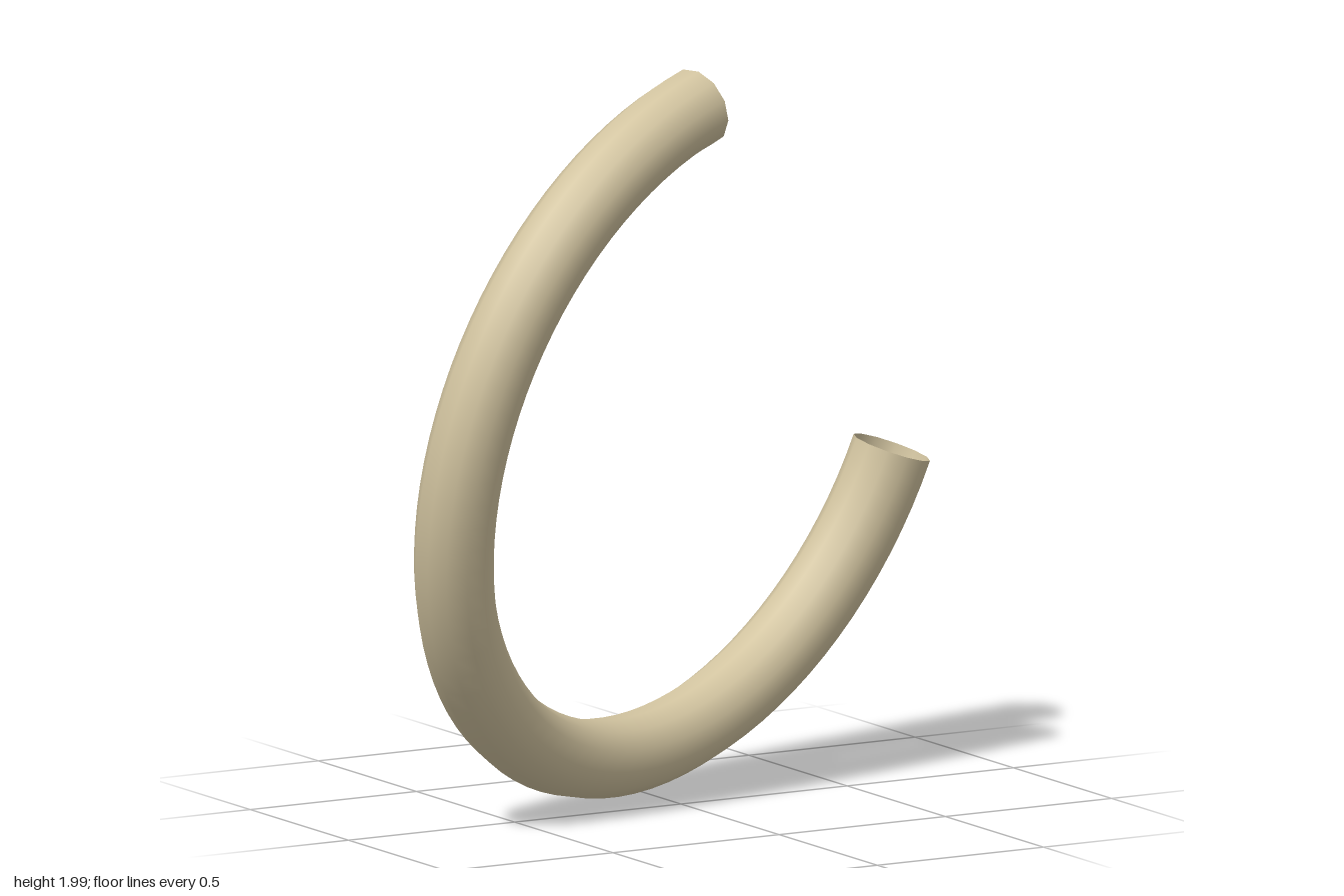
import * as THREE from 'three';

export function createModel() {
  const group = new THREE.Group();
  group.name = 'openRing';

  // Hollow round tube bent along about two thirds of a circle, open at both ends
  const arc = THREE.MathUtils.degToRad(242.6);
  const tube = new THREE.Mesh(
    new THREE.TorusGeometry(0.934, 0.105, 12, 64, arc),
    new THREE.MeshStandardMaterial({ color: 0xd2c4a0, side: THREE.DoubleSide })
  );
  tube.name = 'curvedTube';

  // Tilt: ring axis, and direction from the centre to the upper end
  const axis = new THREE.Vector3(0.3455, -0.232, 0.909).normalize();
  const start = new THREE.Vector3(-0.135, 0.88, 0.276).projectOnPlane(axis).normalize();
  const side = new THREE.Vector3().crossVectors(axis, start);
  tube.quaternion.setFromRotationMatrix(new THREE.Matrix4().makeBasis(start, side, axis));
  tube.position.set(0.022, 1.014, 0);

  group.add(tube);
  return group;
}
